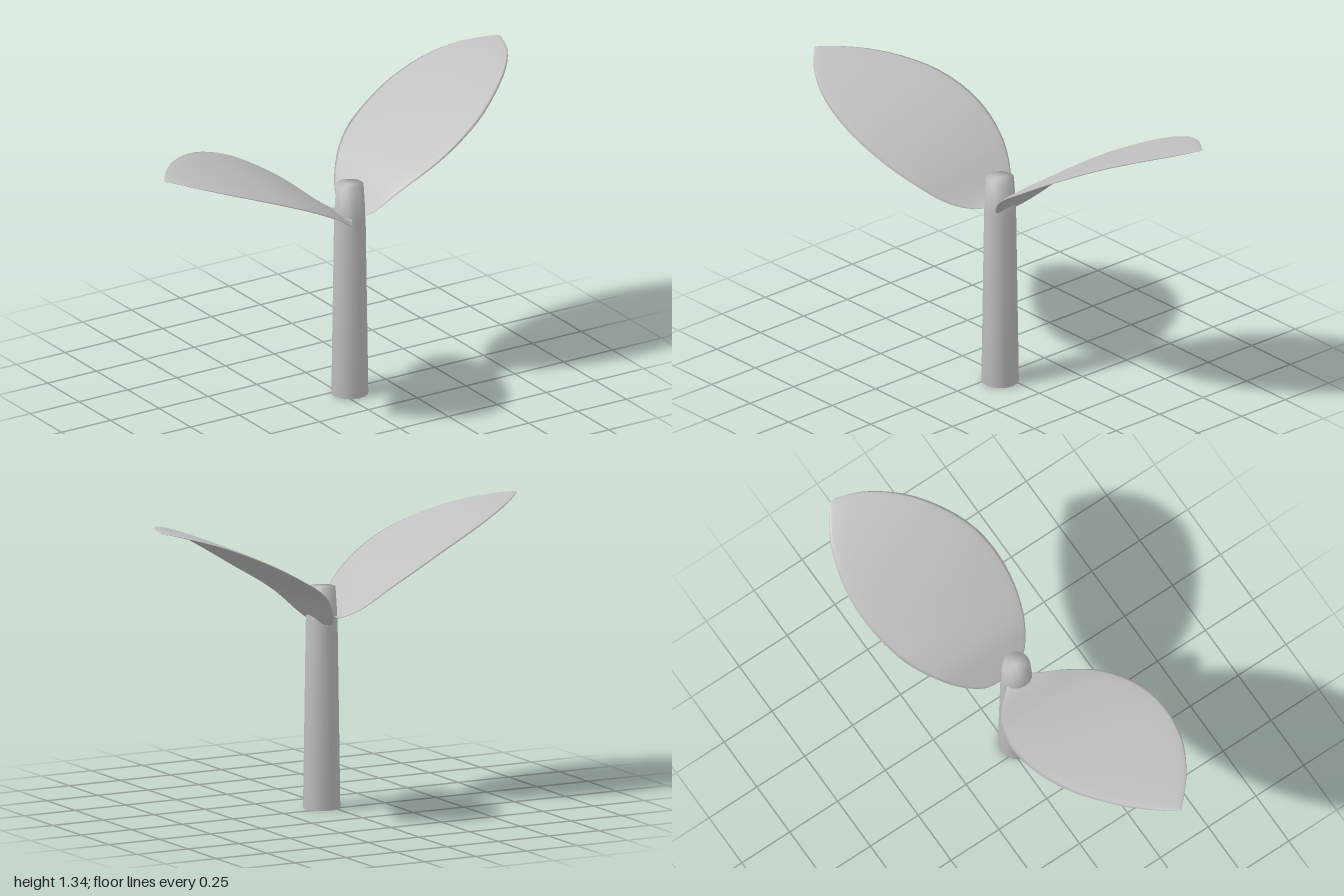
import * as THREE from 'three';

const grey = new THREE.MeshStandardMaterial({ color: 0xc0c0c0 });
grey.name = 'plain grey';

const curve = pts => new THREE.CatmullRomCurve3(pts.map(([x, z]) => new THREE.Vector3(x, 0, z)), false, 'centripetal');

// Height along the leaf, interpolated smoothly from samples at even x spacing.
function heightAt(samples, d) {
  const s = new THREE.SplineCurve(samples.map((y, i) => new THREE.Vector2(i, y)));
  return s.getPoint(THREE.MathUtils.clamp(d / 0.2 / (samples.length - 1), 0, 1)).y;
}

// Thin closed lens of loops, lofted between a back and a front outline.
function leaf(name, { back, front, heights, tilt, axis }) {
  const a = curve(back), b = curve(front);
  const rows = 32, half = 10, ring = half * 2;
  const pos = [], idx = [];
  for (let i = 0; i <= rows; i++) {
    const t = i / rows;
    const p = a.getPoint(t), q = b.getPoint(t);
    const thick = 0.011 * Math.pow(Math.sin(Math.PI * (0.06 + 0.93 * t)), 0.6);
    for (let j = 0; j < ring; j++) {
      const ang = (j / ring) * Math.PI * 2;
      const u = (1 - Math.cos(ang)) / 2;
      const x = p.x + (q.x - p.x) * u, z = p.z + (q.z - p.z) * u;
      const y = heightAt(heights, Math.abs(x)) + tilt(x) * (z - axis(x));
      pos.push(x, y + thick * Math.sin(ang), z);
    }
  }
  const flip = back[back.length - 1][0] < 0;
  const tri = (m, n, o) => (flip ? idx.push(m, o, n) : idx.push(m, n, o));
  for (let i = 0; i < rows; i++) {
    for (let j = 0; j < ring; j++) {
      const k = (j + 1) % ring;
      const m = i * ring + j, n = i * ring + k;
      tri(m, n, m + ring);
      tri(n, n + ring, m + ring);
    }
  }
  // Close the blunt base and the tip
  for (let j = 1; j < ring - 1; j++) {
    tri(0, j + 1, j);
    tri(rows * ring, rows * ring + j, rows * ring + j + 1);
  }
  const g = new THREE.BufferGeometry();
  g.setAttribute('position', new THREE.Float32BufferAttribute(pos, 3));
  g.setIndex(idx);
  g.computeVertexNormals();
  const mesh = new THREE.Mesh(g, grey);
  mesh.name = name;
  return mesh;
}

export function createModel() {
  const model = new THREE.Group();
  model.name = 'sprout';

  // Tapered stem with softly shaded ends
  const profile = [[0, 0], [0.081, 0], [0.069, 0.82], [0.06, 0.97], [0, 0.97]];
  const stem = new THREE.Mesh(
    new THREE.LatheGeometry(profile.map(([r, y]) => new THREE.Vector2(r, y)), 16), grey);
  stem.position.set(0.04, 0, 0.04);
  stem.name = 'stem';
  model.add(stem);

  // Leaf on the model's left (+x)
  model.add(leaf('leftLeaf', {
    back: [[0.06, -0.02], [0.07, -0.11], [0.15, -0.25], [0.3, -0.37], [0.58, -0.435], [0.83, -0.385], [0.995, -0.28]],
    front: [[0.08, 0.09], [0.12, 0.14], [0.22, 0.2], [0.4, 0.235], [0.6, 0.2], [0.82, 0.05], [0.95, -0.12], [1, -0.25]],
    heights: [0.76, 0.965, 1.095, 1.205, 1.293, 1.343],
    tilt: x => -0.1 * (1 - x / 0.75),
    axis: x => 0.03 - 0.33 * (x - 0.08),
  }));

  // Leaf on the model's right (-x)
  model.add(leaf('rightLeaf', {
    back: [[0.02, -0.02], [-0.07, -0.12], [-0.2, -0.19], [-0.38, -0.215], [-0.6, -0.165], [-0.82, -0.025], [-0.95, 0.11], [-1, 0.18]],
    front: [[0.02, 0.09], [-0.06, 0.22], [-0.17, 0.325], [-0.32, 0.4], [-0.49, 0.43], [-0.7, 0.395], [-0.87, 0.305], [-1, 0.19]],
    heights: [0.835, 0.975, 1.09, 1.172, 1.23, 1.265],
    tilt: () => -0.07,
    axis: x => 0.03 - 0.155 * x,
  }));

  return model;
}
